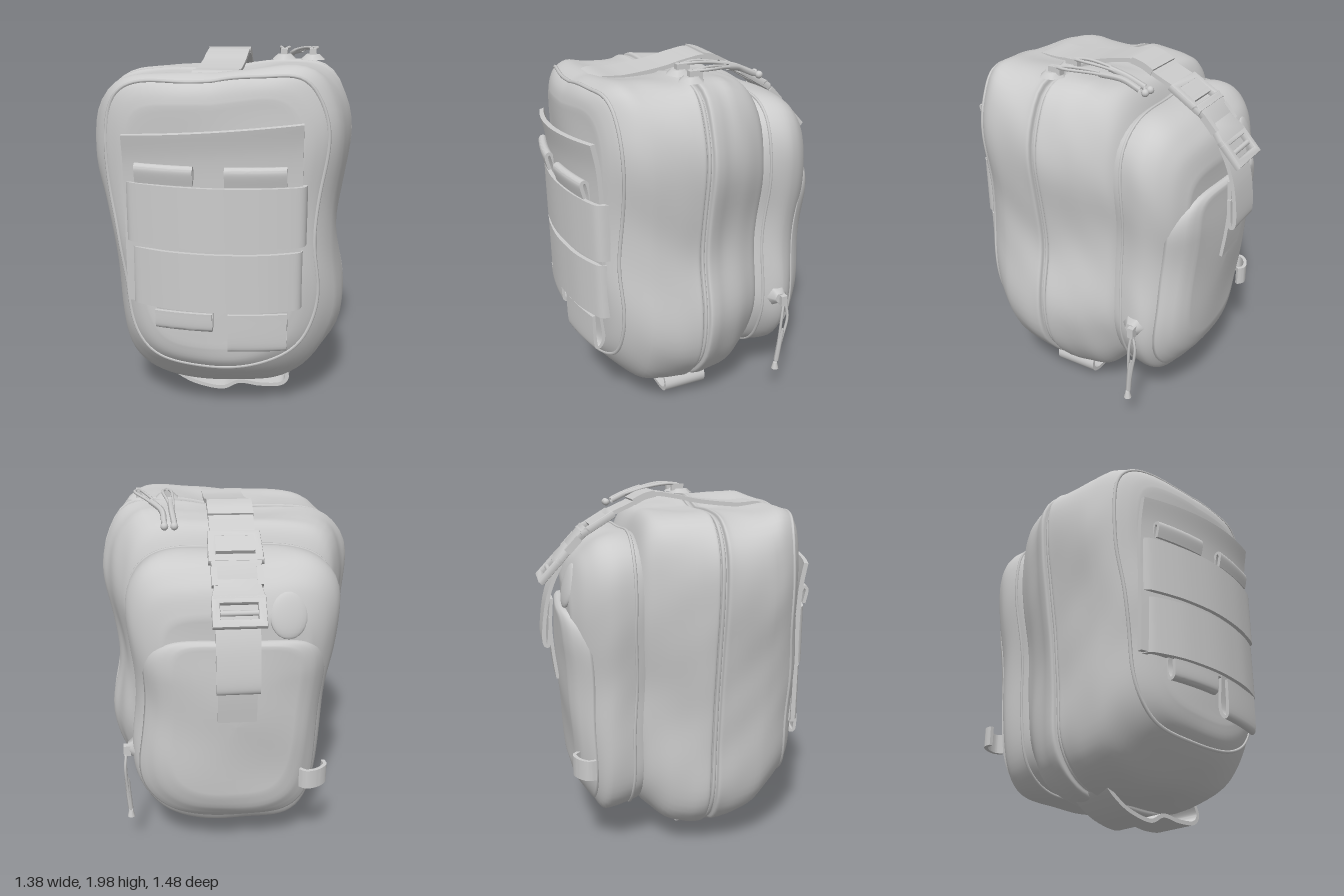
import * as THREE from 'three';
import { toCreasedNormals } from 'three/addons/utils/BufferGeometryUtils.js';

const mat = new THREE.MeshStandardMaterial({ color: 0xcccccc, side: THREE.DoubleSide });
const SEG = 112;
const clamp01 = v => THREE.MathUtils.clamp(v, 0, 1);

function add(parent, name, geo, x = 0, y = 0, z = 0) {
  const m = new THREE.Mesh(geo, mat);
  m.name = name;
  m.position.set(x, y, z);
  parent.add(m);
  return m;
}

// Point on a soft rounded-rectangle section [z, halfWidth, bottom, top], sagged and creased like fabric
function sectionPoint([z, hw, y0, y1], t, k = 1) {
  const c = Math.cos(t), s = Math.sin(t), n = s > 0 ? 6 : 3.4;
  const r = k / Math.pow(Math.abs(c) ** n + Math.abs(s) ** n, 1 / n);
  let x = hw * c * r, y = (y0 + y1) / 2 + (y1 - y0) / 2 * s * r;
  const right = 0.645 + 0.03 * Math.cos((y - 0.58) * 6.8);
  const left = 0.622 - 0.055 * Math.cos((y - 0.7) * 3.4);
  x *= (x > 0 ? right : left) / 0.655;
  const crease = 1 + 0.006 * Math.sin(9 * y + 8 * z + 3 * x) + 0.005 * Math.sin(13 * x - 11 * z + 4 * y)
    + 0.004 * Math.sin(17 * y - 15 * z) * Math.sin(16 * x + 5 * z);
  x *= crease;
  // the main compartment's top rises to one side
  y = 1 + (y - 1) * crease + 0.08 * Math.max(0, x) * y * clamp01((z + 0.25) * 5);
  // wavy faces, calm beside the zip; front and back bow outwards across the width
  const wave = 0.006 * Math.sin(7 * x + 5 * y) + 0.004 * Math.sin(11 * y - 6 * x);
  const front = clamp01((z - 0.4) / 0.2), back = clamp01((-z - 0.4) / 0.2);
  const dz = wave * clamp01(Math.abs(z - 0.13) * 2.5) + front * (0.03 - 0.22 * x * x)
    + back * (0.22 * x * x - 0.015 + 0.07 * Math.max(0, 1.2 - y));
  return new THREE.Vector3(x, y, z + dz);
}

// Smooth skin through sections listed from front to back, closed at both ends
function loft(sections, steps = 4) {
  const rows = [], last = sections.length - 1;
  const at = i => sections[Math.min(last, Math.max(0, i))];
  for (let i = 0; i < last; i++) for (let s = 0; s < steps; s++) {
    const t = s / steps;
    rows.push([0, 1, 2, 3].map(j => {
      const [a, b, c, d] = [at(i - 1)[j], at(i)[j], at(i + 1)[j], at(i + 2)[j]];
      return b + 0.5 * t * (c - a + t * (2 * a - 5 * b + 4 * c - d + t * (3 * (b - c) + d - a)));
    }));
  }
  rows.push(at(last));
  const scale = [0.001, 0.2, 0.4, 0.6, 0.75, 0.88, 0.96];
  const rings = [...scale.map(k => [rows[0], k]), ...rows.map(r => [r, 1]),
    ...scale.slice().reverse().map(k => [at(last), k])];
  const pos = [], idx = [];
  rings.forEach(([row, k], i) => {
    for (let j = 0; j < SEG; j++) {
      pos.push(...sectionPoint(row, j / SEG * Math.PI * 2, k).toArray());
      if (i === rings.length - 1) continue;
      const a = i * SEG + j, b = i * SEG + (j + 1) % SEG;
      idx.push(a, a + SEG, b, b, a + SEG, b + SEG);
    }
  });
  const g = new THREE.BufferGeometry();
  g.setAttribute('position', new THREE.Float32BufferAttribute(pos, 3));
  g.setIndex(idx);
  g.computeVertexNormals();
  return g;
}

// Cord following a section outline
function piping(section, radius) {
  const pts = [];
  for (let j = 0; j < 80; j++) pts.push(sectionPoint(section, j / 80 * Math.PI * 2));
  return new THREE.TubeGeometry(new THREE.CatmullRomCurve3(pts, true), 160, radius, 6, true);
}

function cord(points, radius) {
  const curve = new THREE.CatmullRomCurve3(points.map(p => new THREE.Vector3(...p)));
  return new THREE.TubeGeometry(curve, 24, radius, 6);
}

function extrude(shape, depth, bevel = 0, steps = 1) {
  const g = new THREE.ExtrudeGeometry(shape, { depth, steps, bevelEnabled: bevel > 0, bevelSize: bevel,
    bevelThickness: bevel, bevelSegments: 2, curveSegments: 8 });
  return g.translate(0, 0, -depth / 2);
}

// Webbing: a thickened 2D path swept sideways; the plane names the path's axes
function ribbon(path, width, thick, plane, warp) {
  const curve = new THREE.SplineCurve(path.map(p => new THREE.Vector2(...p)));
  const up = [], down = [], N = path.length * 6;
  for (let i = 0; i <= N; i++) {
    const p = curve.getPoint(i / N), t = curve.getTangent(i / N);
    const o = new THREE.Vector2(-t.y, t.x).multiplyScalar(thick / 2);
    up.push(p.clone().add(o));
    down.unshift(p.clone().sub(o));
  }
  const g = extrude(new THREE.Shape([...up, ...down]), width, 0, warp ? 16 : 1);
  if (plane === 'zy') g.rotateY(-Math.PI / 2);
  if (plane === 'xz') g.rotateX(Math.PI / 2);
  const p = g.attributes.position, v = new THREE.Vector3();
  if (warp) for (let i = 0; i < p.count; i++) {
    warp(v.fromBufferAttribute(p, i));
    p.setXYZ(i, v.x, v.y, v.z);
  }
  return toCreasedNormals(g, 0.7);
}

// Tapered buckle outline, with an optional slot
function plate(wTop, wBottom, y0, y1, slot) {
  const make = (a, b, lo, hi, C) => new C([[-b, lo], [b, lo], [a, hi], [-a, hi]].map(p => new THREE.Vector2(...p)));
  const s = make(wTop / 2, wBottom / 2, y0, y1, THREE.Shape);
  if (slot) s.holes.push(make(wTop / 2 - 0.025, wBottom / 2 - 0.025, y0 + 0.025, y1 - 0.025, THREE.Path));
  return toCreasedNormals(extrude(s, 0.022, 0.008), 0.7);
}

export function createModel() {
  const bag = new THREE.Group();
  bag.name = 'pouchBackpack';

  // Main compartment with a zip groove around it
  add(bag, 'mainCompartment', loft([
    [0.62, 0.44, 0.48, 1.75], [0.605, 0.495, 0.41, 1.81], [0.57, 0.55, 0.35, 1.86], [0.5, 0.6, 0.26, 1.89],
    [0.4, 0.635, 0.16, 1.875], [0.28, 0.66, 0.12, 1.87], [0.19, 0.67, 0.11, 1.875], [0.155, 0.67, 0.11, 1.885],
    [0.145, 0.645, 0.135, 1.865], [0.115, 0.645, 0.135, 1.865], [0.105, 0.67, 0.11, 1.885], [0.06, 0.66, 0.1, 1.88],
    [0, 0.635, 0.1, 1.875], [-0.1, 0.605, 0.12, 1.87], [-0.18, 0.565, 0.19, 1.86], [-0.23, 0.535, 0.25, 1.81],
    [-0.27, 0.49, 0.32, 1.72]]));
  add(bag, 'mainZip', piping([0.13, 0.648, 0.132, 1.868], 0.011));
  add(bag, 'frontPiping', piping([0.57, 0.55, 0.35, 1.86], 0.01));

  // Rear pocket
  add(bag, 'rearPocket', loft([
    [-0.18, 0.49, 0.32, 1.66], [-0.23, 0.52, 0.25, 1.735], [-0.29, 0.535, 0.22, 1.765], [-0.38, 0.55, 0.2, 1.765],
    [-0.46, 0.535, 0.2, 1.74], [-0.52, 0.505, 0.25, 1.69], [-0.57, 0.455, 0.34, 1.62], [-0.605, 0.38, 0.48, 1.5]]));
  add(bag, 'rearPocketPiping', piping([-0.285, 0.534, 0.221, 1.765], 0.009));
  add(bag, 'rearSlipPanel', loft([
    [-0.53, 0.505, 0.26, 1.36], [-0.585, 0.47, 0.31, 1.375], [-0.625, 0.42, 0.37, 1.38], [-0.645, 0.35, 0.46, 1.36]], 3));

  // Front webbing panel, bowed, its top edge rising to one side
  add(bag, 'webbingPanel', ribbon([[0.715, 1.64], [0.69, 1.5], [0.68, 1.3], [0.68, 1], [0.675, 0.72]], 0.9, 0.025, 'zy', v => {
    if (v.y > 1.25) v.y += 0.08 * v.x;
    v.z -= 0.35 * v.x * v.x;
  }));
  for (const [y, x, w] of [[1.21, 0.015, 0.45], [0.87, 0.02, 0.43]]) {
    add(bag, 'webbingBand', ribbon([[-w, 0.575], [-w + 0.01, 0.625], [-w + 0.06, 0.655], [-0.25, 0.695], [-0.12, 0.715],
      [0, 0.722], [0.12, 0.715], [0.25, 0.695], [w - 0.06, 0.655], [w - 0.01, 0.625], [w, 0.575]], 0.31, 0.022, 'xz'), x, y);
  }
  // Folded tabs tucked behind the bands, bowed with the panel
  const tab = (x, path) => add(bag, 'foldedTab', ribbon(path, 0.3, 0.018, 'zy', v => { v.z -= 0.35 * (v.x + x) ** 2; }), x);
  for (const x of [-0.23, 0.225])
    tab(x, [[0.69, 1.33], [0.692, 1.39], [0.705, 1.452], [0.725, 1.462], [0.735, 1.44], [0.72, 1.375]]);
  for (const [x, y] of [[-0.14, 0.6], [0.24, 0.5]])
    tab(x, [[0.685, 0.78], [0.665, y + 0.08], [0.68, y + 0.012], [0.71, y + 0.015], [0.715, 0.7]]);

  // Strap over the top, with a folded keeper behind it
  add(bag, 'topStrap', ribbon([[0.53, 1.86], [0.48, 1.895], [0.35, 1.89], [0.15, 1.91], [0, 1.94], [-0.12, 1.95],
    [-0.24, 1.895], [-0.36, 1.84], [-0.45, 1.785]], 0.23, 0.022, 'zy'));
  add(bag, 'strapKeeper', ribbon([[-0.1, 1.955], [-0.16, 1.94], [-0.22, 1.91]], 0.235, 0.035, 'zy'));

  // Side-release buckle bending down the slope of the rear pocket
  const buckle = new THREE.Group();
  buckle.name = 'buckle';
  buckle.position.set(-0.005, 1.69, -0.55);
  buckle.rotation.x = 0.747;
  bag.add(buckle);
  const upper = add(buckle, 'buckleUpperFrame', plate(0.25, 0.26, -0.01, 0.18, true), 0, 0.09, 0);
  upper.rotation.x = 0.28;
  add(buckle, 'buckleBody', plate(0.26, 0.19, -0.02, 0.11));
  add(buckle, 'buckleSocket', plate(0.2, 0.25, -0.12, -0.01));
  add(buckle, 'buckleLowerFrame', plate(0.25, 0.25, -0.26, -0.11, true));
  for (const [y, z] of [[0.17, 0.02], [-0.19, 0]])
    add(buckle, 'buckleBar', new THREE.CylinderGeometry(0.014, 0.014, 0.22, 10).rotateZ(Math.PI / 2), 0, y, z);
  for (const s of [-1, 1])
    add(buckle, 'buckleProng', new THREE.BoxGeometry(0.03, 0.1, 0.04), s * 0.112, 0, 0);

  // Strap tail below the buckle
  add(bag, 'strapTail', ribbon([[-0.62, 1.58], [-0.665, 1.49], [-0.7, 1.38], [-0.72, 1.25], [-0.722, 1.16], [-0.7, 1.145],
    [-0.69, 1.22], [-0.685, 1.3]], 0.22, 0.02, 'zy'));
  add(bag, 'strapEnd', ribbon([[-0.675, 1.4], [-0.685, 1.25], [-0.675, 1.1], [-0.655, 0.95]], 0.2, 0.018, 'zy'));

  // Sewn patch and small tab on the back
  const patch = add(bag, 'rearPatch', new THREE.SphereGeometry(1, 20, 12), -0.26, 1.5, -0.595);
  patch.scale.set(0.1, 0.12, 0.025);
  patch.rotation.set(0.25, 0.15, 0);
  const rearTab = add(bag, 'rearTab', ribbon([[-0.08, 0], [-0.06, -0.04], [0, -0.055], [0.06, -0.04], [0.08, 0]],
    0.11, 0.02, 'xz'), -0.42, 0.55, -0.54);
  rearTab.rotation.y = 0.5;

  // Carry loop under the base
  add(bag, 'baseHandle', ribbon([[-0.27, 0.2], [-0.31, 0.15], [-0.24, 0.09], [-0.14, 0.045], [0, 0.025], [0.1, 0.07],
    [0.22, 0.06], [0.34, 0.07], [0.38, 0.12], [0.35, 0.19]], 0.25, 0.022, 'xy'), 0, 0, 0.125);

  // Zip pulls on top: slider, looped cord and sleeve
  for (const [x, ex] of [[0.32, 0.29], [0.47, 0.34]]) {
    const pull = new THREE.Group();
    pull.name = 'topZipPull';
    bag.add(pull);
    add(pull, 'zipGarage', new THREE.CylinderGeometry(0.04, 0.07, 0.025, 6), x, 1.945, 0.14);
    add(pull, 'zipSlider', new THREE.BoxGeometry(0.035, 0.04, 0.07), x, 1.965, 0.12);
    for (const s of [-1, 1])
      add(pull, 'pullCord', cord([[x, 1.98, 0.13], [x + s * 0.022, 1.985, 0.05], [(x + ex) / 2 + s * 0.015, 1.965, -0.08],
        [ex, 1.93, -0.2]], 0.008));
    add(pull, 'pullSleeve', cord([[(x + ex) / 2, 1.962, -0.09], [ex + 0.01, 1.935, -0.19], [ex, 1.895, -0.28]], 0.016));
    add(pull, 'pullKnot', new THREE.SphereGeometry(0.02, 10, 8), ex, 1.885, -0.31);
  }

  // Side zip pull hanging on the rear pocket
  const side = new THREE.Group();
  side.name = 'sideZipPull';
  bag.add(side);
  add(side, 'zipGarage', new THREE.CylinderGeometry(0.03, 0.065, 0.04, 6).rotateZ(-Math.PI / 2), 0.56, 0.66, -0.37);
  add(side, 'zipSlider', new THREE.BoxGeometry(0.04, 0.06, 0.035), 0.585, 0.65, -0.385);
  for (const s of [-1, 1])
    add(side, 'pullCord', cord([[0.59, 0.65, -0.39], [0.6, 0.55, -0.395 + s * 0.018], [0.595, 0.4, -0.38 + s * 0.01],
      [0.585, 0.24, -0.365]], 0.008));
  add(side, 'pullSleeve', cord([[0.595, 0.46, -0.385], [0.592, 0.36, -0.375], [0.586, 0.25, -0.365]], 0.015));
  add(side, 'pullKnot', new THREE.CylinderGeometry(0.012, 0.022, 0.04, 8), 0.585, 0.215, -0.36);

  return bag;
}
